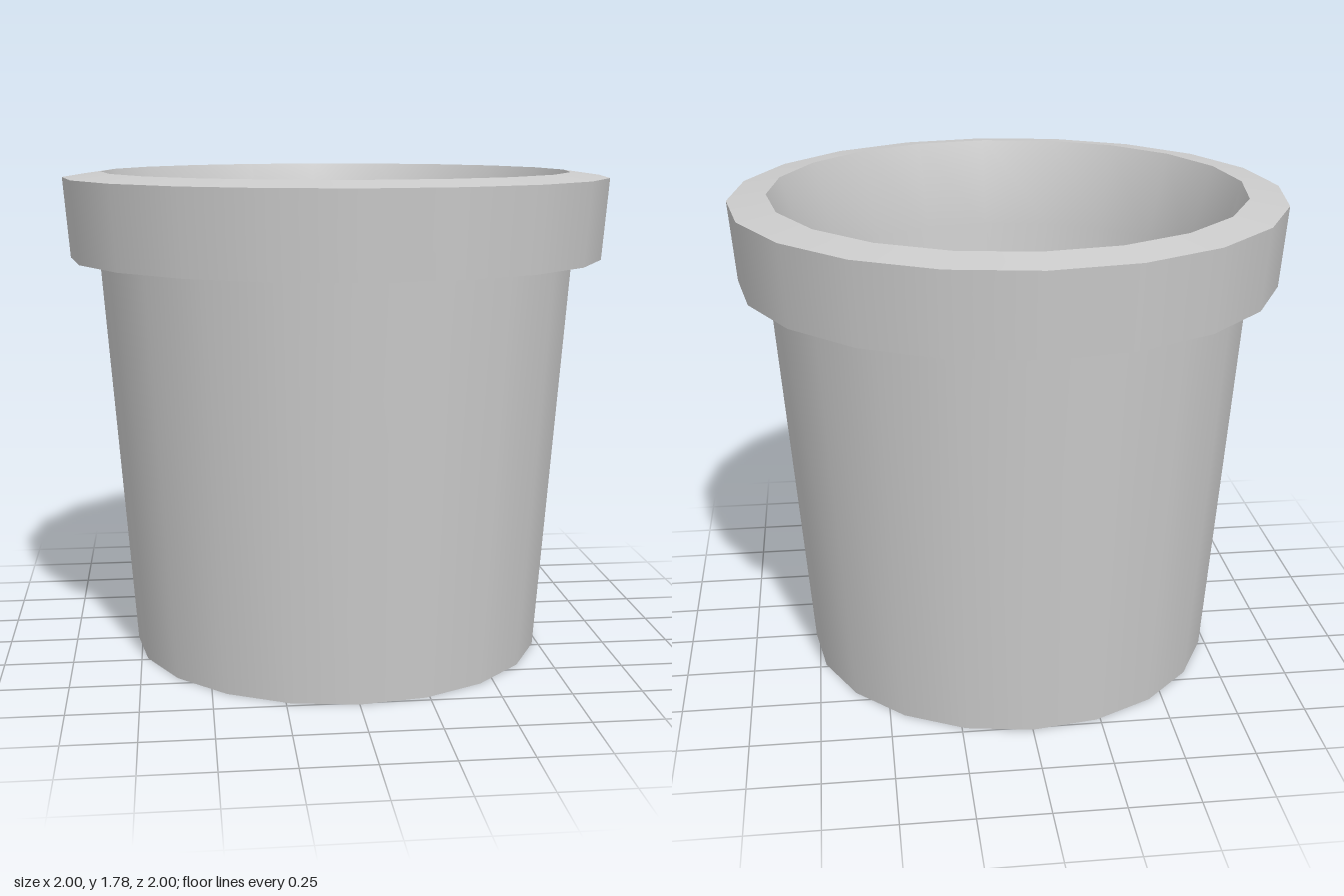
import * as THREE from 'three';

const SIDES = 20;

// Outline pieces [radius, height], running from the base centre up the outside,
// over the lip and down the inside. Each piece is smooth; edges between pieces are sharp.
const PROFILE = {
  base: [[0, 0], [0.765, 0]],
  outerWall: [[0.765, 0], [0.872, 1.465]],
  rimUnderside: [[0.872, 1.465], [0.977, 1.47]],
  rimBand: [[0.977, 1.47], [1, 1.762]],
  rimTop: [[1, 1.762], [0.86, 1.782]],
  innerWall: [[0.86, 1.782], [0.76, 1.46], [0.68, 0.15]],
  innerFloor: [[0.68, 0.15], [0, 0.15]],
};

export function createModel() {
  const pot = new THREE.Group();
  pot.name = 'flowerPot';
  const material = new THREE.MeshStandardMaterial({ color: 0xcccccc });

  for (const [name, outline] of Object.entries(PROFILE)) {
    const points = outline.map(([r, y]) => new THREE.Vector2(r, y));
    const mesh = new THREE.Mesh(new THREE.LatheGeometry(points, SIDES), material);
    mesh.name = name;
    pot.add(mesh);
  }
  return pot;
}
